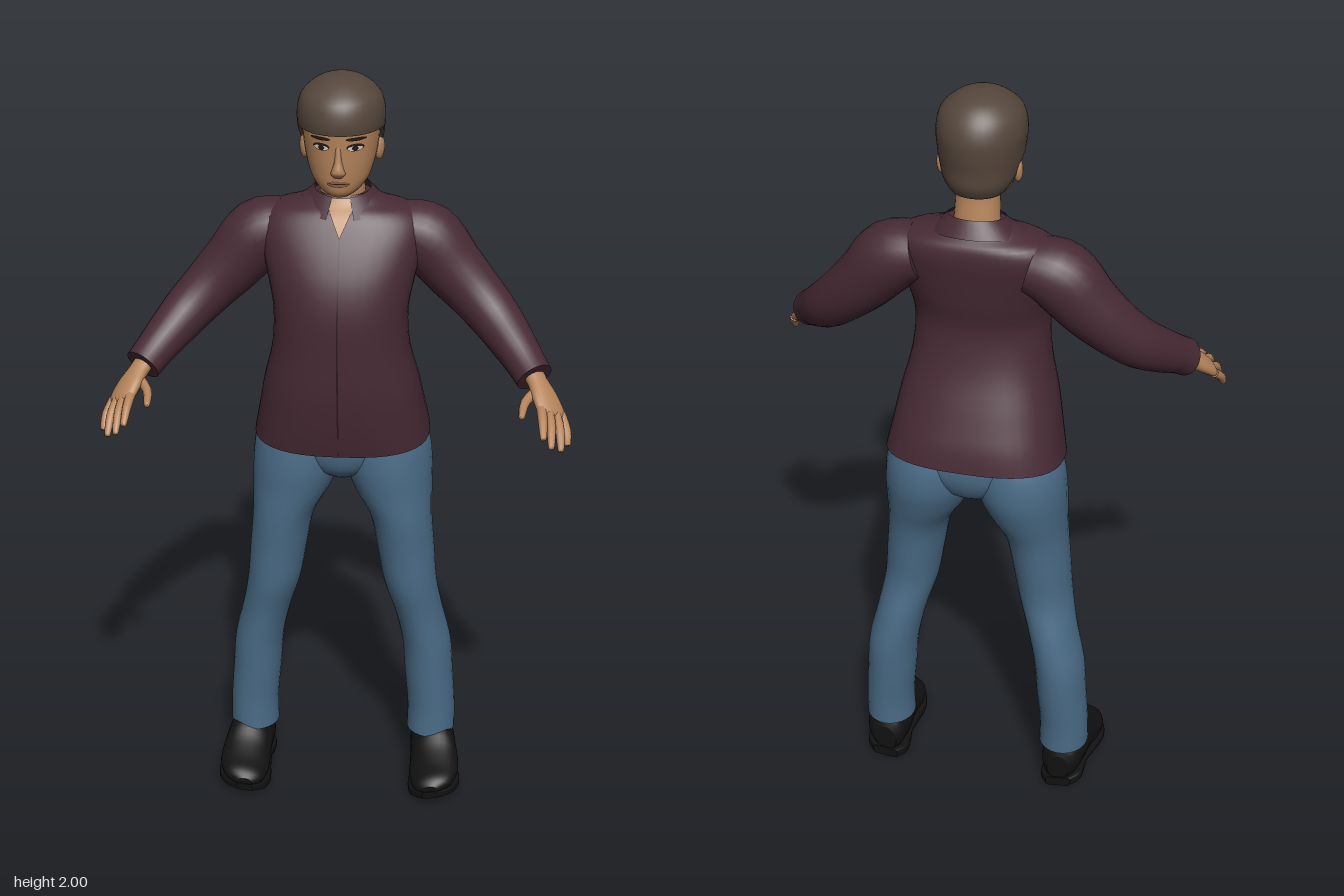
import * as THREE from 'three';

const mat = (name, color, side = THREE.FrontSide) => {
  const m = new THREE.MeshStandardMaterial({ color, side });
  m.name = name;
  return m;
};
const X = new THREE.Vector3(1, 0, 0), Y = new THREE.Vector3(0, 1, 0), Z = new THREE.Vector3(0, 0, 1);
const smooth = THREE.MathUtils.smoothstep;

// Smoothly subdivide section rows [x, y, z, radiusA, radiusB, exponent]
function dense(rows, k) {
  const out = [];
  const at = i => rows[Math.min(Math.max(i, 0), rows.length - 1)];
  for (let i = 0; i < rows.length - 1; i++) {
    for (let s = 0; s < k; s++) {
      const t = s / k;
      out.push(at(i).map((b, c) => {
        const a = at(i - 1)[c], d = at(i + 1)[c], e = at(i + 2)[c];
        return b + 0.5 * t * (d - a + t * (2 * a - 5 * b + 4 * d - e + t * (3 * (b - d) + e - a)));
      }));
    }
  }
  out.push(at(rows.length - 1));
  return out;
}

// Skin over superellipse sections; axis is a fixed direction or 'path'
function loft(rows, { n = 28, k = 4, axis = Y, ref = X, deform } = {}) {
  const R = dense(rows, k), pos = [], idx = [];
  const center = r => new THREE.Vector3(r[0], r[1], r[2]);
  const push = v => { if (deform) deform(v); pos.push(v.x, v.y, v.z); };
  const ring = i => {
    const r = R[i];
    const t = axis === 'path'
      ? center(R[Math.min(i + 1, R.length - 1)]).sub(center(R[Math.max(i - 1, 0)])).normalize()
      : axis;
    const u = ref.clone().addScaledVector(t, -ref.dot(t)).normalize();
    const v = t.clone().cross(u), e = 2 / (r[5] || 2);
    for (let j = 0; j < n; j++) {
      const a = j / n * Math.PI * 2, c = Math.cos(a), s = Math.sin(a);
      push(center(r)
        .addScaledVector(u, r[3] * Math.sign(c) * Math.abs(c) ** e)
        .addScaledVector(v, r[4] * Math.sign(s) * Math.abs(s) ** e));
    }
  };
  R.forEach((_, i) => ring(i));
  for (let i = 0; i < R.length - 1; i++) {
    for (let j = 0; j < n; j++) {
      const a = i * n + j, b = i * n + (j + 1) % n;
      idx.push(a, b, b + n, a, b + n, a + n);
    }
  }
  for (const i of [0, R.length - 1]) {
    const base = pos.length / 3;
    ring(i);
    push(center(R[i]));
    for (let j = 0; j < n; j++) {
      const a = base + j, b = base + (j + 1) % n;
      idx.push(...(i ? [a, b, base + n] : [b, a, base + n]));
    }
  }
  return grid(pos, idx);
}

function grid(pos, idx) {
  const g = new THREE.BufferGeometry();
  g.setAttribute('position', new THREE.Float32BufferAttribute(pos, 3));
  g.setIndex(idx);
  g.computeVertexNormals();
  return g;
}

// Front z of a horizontally sectioned body
function frontAt(R, x, y) {
  let i = 0;
  while (i < R.length - 2 && R[i + 1][1] < y) i++;
  const f = THREE.MathUtils.clamp((y - R[i][1]) / (R[i + 1][1] - R[i][1]), 0, 1);
  const r = R[i].map((a, c) => a + (R[i + 1][c] - a) * f), e = r[5] || 2;
  return r[2] + r[4] * Math.max(0, 1 - Math.abs(x / r[3]) ** e) ** (1 / e);
}

// Thin face hugging the front of a body; span(t) gives [y, x0, x1]
function patch(R, span, offset, rows = 8, cols = 8) {
  const pos = [], idx = [], w = cols + 1;
  for (let i = 0; i <= rows; i++) {
    const [y, x0, x1] = span(i / rows);
    for (let j = 0; j <= cols; j++) {
      const x = x0 + (x1 - x0) * j / cols;
      pos.push(x, y, frontAt(R, x, y) + offset);
      if (i < rows && j < cols) {
        const a = i * w + j;
        idx.push(a, a + 1, a + w + 1, a, a + w + 1, a + w);
      }
    }
  }
  return grid(pos, idx);
}
const oval = (x, y, rx, ry, slope = 0) => t => {
  const a = (t - 0.5) * Math.PI, w = rx * Math.cos(a);
  return [y + ry * Math.sin(a) + slope, x - w, x + w];
};

function mirrored(g) {
  const m = g.clone().scale(-1, 1, 1), a = m.index.array;
  for (let i = 0; i < a.length; i += 3) [a[i], a[i + 1]] = [a[i + 1], a[i]];
  return m;
}

export function createModel() {
  const model = new THREE.Group();
  const skin = mat('skin', 0xb5845b), shirtMat = mat('shirt burgundy', 0x472a34), jeans = mat('denim blue', 0x4a6b86);
  const hairMat = mat('hair brown', 0x55463b), black = mat('shoe black', 0x111111), dark = mat('dark brown', 0x241812);
  const white = mat('eye white', 0xd8d0c8), lip = mat('lip', 0x95604a), seam = mat('seam', 0x2a171e);
  const collarMat = mat('collar burgundy', 0x472a34, THREE.DoubleSide);
  const add = (name, g, m) => {
    const mesh = new THREE.Mesh(g, m);
    mesh.name = name;
    model.add(mesh);
  };
  const both = (name, g, m) => {
    add('left' + name, g, m);
    add('right' + name, mirrored(g), m);
  };

  // Shirt body with a hem that dips at the front
  const shirt = [
    [0, 1.04, -0.095, 0.228, 0.16, 2.6], [0, 1.12, -0.078, 0.213, 0.162, 2.5], [0, 1.2, -0.057, 0.198, 0.153, 2.4],
    [0, 1.3, -0.035, 0.175, 0.135, 2.3], [0, 1.4, -0.025, 0.17, 0.125, 2.2], [0, 1.48, -0.04, 0.184, 0.125, 2.2],
    [0, 1.55, -0.06, 0.2, 0.117, 2.3], [0, 1.61, -0.08, 0.205, 0.105, 2.4], [0, 1.648, -0.09, 0.18, 0.09, 2.3],
    [0, 1.668, -0.092, 0.12, 0.07, 2], [0, 1.69, -0.09, 0.068, 0.055, 2]];
  const shirtRows = dense(shirt, 4);
  add('shirt', loft(shirt, {
    n: 40, deform: v => { v.y -= (v.z + 0.095) * 0.12 * (1 - smooth(v.y, 1.04, 1.16)); },
  }), shirtMat);
  add('shirtPlacket', patch(shirtRows, t => [1.025 + 0.575 * t, -0.002, 0.002], 0.003, 30, 1), seam);
  add('openNeck', patch(shirtRows, t => [1.6 + 0.085 * t, -0.04 * t, 0.04 * t], 0.005, 10, 6), skin);

  // Collar band, open at the front
  const cp = [], ci = [], cn = 32;
  for (let i = 0; i <= cn; i++) {
    const a = (i / cn * 2 - 1) * 2.83, c = Math.cos(a), s = Math.sin(a), f = (1 - c) / 2;
    cp.push(0.07 * s, 1.712 - 0.025 * f, -0.088 - 0.062 * c);
    cp.push(0.112 * s, 1.672 - 0.032 * f, -0.09 - c * (0.095 - 0.01 * c));
    if (i < cn) ci.push(2 * i, 2 * i + 2, 2 * i + 1, 2 * i + 1, 2 * i + 2, 2 * i + 3);
  }
  add('collar', grid(cp, ci), collarMat);

  // Sleeves
  both('Sleeve', loft([
    [0.14, 1.59, -0.098, 0.08, 0.07], [0.21, 1.565, -0.098, 0.088, 0.088], [0.275, 1.492, -0.09, 0.08, 0.08],
    [0.335, 1.43, -0.073, 0.071, 0.071], [0.39, 1.375, -0.04, 0.065, 0.064], [0.44, 1.325, 0.018, 0.057, 0.055],
    [0.47, 1.294, 0.06, 0.05, 0.049], [0.49, 1.273, 0.088, 0.05, 0.047]], { axis: 'path', ref: Z, n: 24 }), shirtMat);

  // Hands: palm, four fingers and thumb
  const across = new THREE.Vector3(0.06, -0.03, -0.04);
  both('Palm', loft([
    [0.48, 1.285, 0.07, 0.03, 0.024], [0.498, 1.264, 0.1, 0.03, 0.022], [0.516, 1.24, 0.13, 0.04, 0.021],
    [0.533, 1.214, 0.16, 0.043, 0.018], [0.541, 1.203, 0.174, 0.034, 0.01]], { axis: 'path', ref: across, n: 16 }), skin);
  const digits = {
    Thumb: [[0.495, 1.25, 0.118], [0.468, 1.237, 0.165], [0.461, 1.224, 0.218]],
    IndexFinger: [[0.508, 1.23, 0.165], [0.512, 1.213, 0.212], [0.515, 1.184, 0.252]],
    MiddleFinger: [[0.526, 1.22, 0.165], [0.533, 1.2, 0.214], [0.535, 1.164, 0.258]],
    RingFinger: [[0.544, 1.21, 0.158], [0.555, 1.185, 0.202], [0.559, 1.148, 0.238]],
    LittleFinger: [[0.558, 1.2, 0.145], [0.572, 1.173, 0.176], [0.576, 1.144, 0.198]],
  };
  for (const [name, [a, b, c]] of Object.entries(digits)) {
    const end = c.map((q, i) => q + (c[i] - b[i]) * 0.08);
    both(name, loft([[...a, 0.013, 0.012], [...b, 0.012, 0.011], [...c, 0.008, 0.008], [...end, 0.002, 0.002]],
      { axis: 'path', ref: across, n: 10, k: 3 }), skin);
  }

  // Trousers: seat and legs
  add('trouserSeat', loft([
    [0, 0.91, -0.09, 0.03, 0.05], [0, 0.945, -0.094, 0.11, 0.1], [0, 1, -0.098, 0.19, 0.122],
    [0, 1.06, -0.098, 0.2, 0.122], [0, 1.1, -0.09, 0.18, 0.11]]), jeans);
  both('TrouserLeg', loft([
    [0.245, 0.125, -0.1, 0.066, 0.073], [0.245, 0.2, -0.102, 0.065, 0.073], [0.237, 0.3, -0.105, 0.066, 0.08],
    [0.229, 0.4, -0.105, 0.066, 0.085], [0.207, 0.5, -0.095, 0.065, 0.085], [0.183, 0.6, -0.076, 0.071, 0.085],
    [0.17, 0.7, -0.076, 0.076, 0.092], [0.156, 0.8, -0.078, 0.082, 0.104], [0.133, 0.88, -0.09, 0.104, 0.119],
    [0.12, 0.95, -0.098, 0.116, 0.13], [0.114, 1.02, -0.1, 0.113, 0.126], [0.108, 1.09, -0.095, 0.09, 0.11]]), jeans);

  // Shoes, rolled slightly outward
  const roll = v => { v.y += (v.x - 0.19) * 0.12; };
  both('Shoe', loft([
    [0.245, 0.06, -0.168, 0.03, 0.04], [0.248, 0.074, -0.15, 0.05, 0.06], [0.25, 0.08, -0.1, 0.06, 0.066],
    [0.255, 0.076, -0.05, 0.062, 0.062], [0.26, 0.059, 0, 0.066, 0.045], [0.26, 0.048, 0.05, 0.066, 0.034],
    [0.257, 0.043, 0.095, 0.05, 0.026], [0.253, 0.04, 0.118, 0.02, 0.012]], { axis: Z, deform: roll }), black);
  both('ShoeSole', loft([
    [0.246, 0.014, -0.172, 0.034, 0.014, 6], [0.248, 0.014, -0.14, 0.056, 0.014, 6], [0.25, 0.014, -0.095, 0.056, 0.014, 6],
    [0.253, 0.02, -0.07, 0.056, 0.008, 6], [0.258, 0.016, -0.02, 0.063, 0.012, 6], [0.261, 0.014, 0.04, 0.071, 0.013, 6],
    [0.257, 0.018, 0.09, 0.056, 0.012, 6], [0.253, 0.027, 0.122, 0.02, 0.01, 6]], { axis: Z, deform: roll }), black);

  // Neck and head
  add('neck', loft([
    [0, 1.62, -0.088, 0.062, 0.056], [0, 1.7, -0.082, 0.056, 0.05], [0, 1.75, -0.074, 0.054, 0.05],
    [0, 1.8, -0.066, 0.056, 0.056]]), skin);
  const head = [
    [0, 1.712, 0.02, 0.022, 0.022], [0, 1.725, 0.002, 0.046, 0.054], [0, 1.752, -0.014, 0.069, 0.076],
    [0, 1.79, -0.03, 0.083, 0.096], [0, 1.83, -0.036, 0.091, 0.104], [0, 1.87, -0.038, 0.095, 0.108],
    [0, 1.91, -0.038, 0.096, 0.108], [0, 1.95, -0.04, 0.08, 0.09], [0, 1.98, -0.04, 0.045, 0.05]];
  const headRows = dense(head, 4);
  add('head', loft(head, { n: 36 }), skin);
  add('nose', loft([
    [0, 1.769, 0.064, 0.01, 0.006], [0, 1.779, 0.066, 0.018, 0.016], [0, 1.79, 0.068, 0.015, 0.017],
    [0, 1.812, 0.065, 0.009, 0.013], [0, 1.846, 0.063, 0.007, 0.007]], { n: 14 }), skin);
  both('Ear', new THREE.SphereGeometry(1, 14, 10).scale(0.012, 0.032, 0.02).rotateY(-0.3).translate(0.092, 1.812, -0.055), skin);

  // Face details
  both('EyeLash', patch(headRows, oval(0.041, 1.845, 0.021, 0.0095), 0.002), dark);
  both('EyeWhite', patch(headRows, oval(0.041, 1.843, 0.018, 0.006), 0.003), white);
  both('Iris', patch(headRows, oval(0.041, 1.8435, 0.0075, 0.0062), 0.004), dark);
  both('Eyebrow', patch(headRows, oval(0.043, 1.866, 0.025, 0.0045), 0.003), dark);
  add('lips', patch(headRows, oval(0, 1.752, 0.028, 0.0085), 0.003), lip);
  add('mouthLine', patch(headRows, oval(0, 1.753, 0.026, 0.0012), 0.004), dark);

  // Hair: a cap lifted along the hairline, long at the nape
  add('hair', loft([
    [0, 1.755, -0.085, 0.06, 0.05], [0, 1.79, -0.062, 0.086, 0.09], [0, 1.83, -0.04, 0.101, 0.115],
    [0, 1.87, -0.038, 0.106, 0.122], [0, 1.91, -0.037, 0.108, 0.123], [0, 1.95, -0.036, 0.098, 0.109],
    [0, 1.98, -0.04, 0.068, 0.076], [0, 1.995, -0.04, 0.035, 0.04], [0, 2, -0.04, 0.004, 0.004]], {
    n: 40,
    deform: v => {
      const b = -(v.z + 0.04) / Math.hypot(v.x, v.z + 0.04, 0.001);
      v.y = Math.max(v.y, 1.878 - 0.115 * smooth(b, -0.35, 0.75));
    },
  }), hairMat);
  return model;
}
